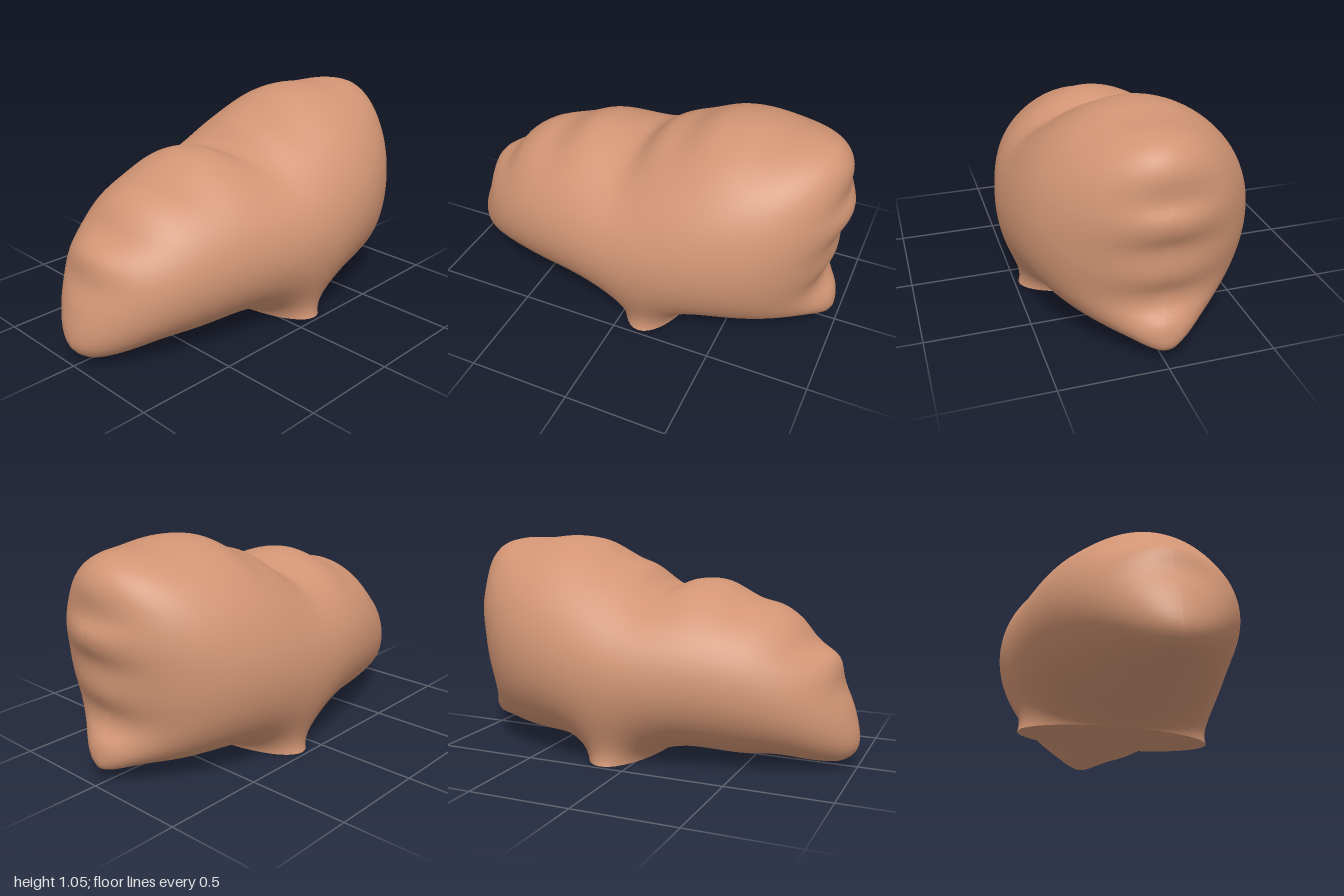
import * as THREE from 'three';

const FOOT = { x: 0.125, rx: 0.185, rz: 0.48 };
const WIDEST = 0.57, RINGS = 40;

// Middle outline, counterclockwise: free edge from foot to foot, then the flat foot edge
function makeOutline() {
  const edge = new THREE.CatmullRomCurve3([
    [0.31, 0], [0.335, 0.025], [0.5, 0.03], [0.68, 0.04], [0.82, 0.065], [0.96, 0.07],
    [0.98, 0.1], [0.97, 0.2], [0.92, 0.26], [0.91, 0.32], [0.95, 0.43], [0.955, 0.57],
    [0.995, 0.66], [1, 0.72], [0.97, 0.78], [0.965, 0.92], [0.91, 1], [0.8, 1.035],
    [0.65, 1.04], [0.5, 1.055], [0.34, 1.035], [0.2, 0.96], [0.08, 0.92], [-0.05, 0.82],
    [-0.18, 0.86], [-0.32, 0.86], [-0.48, 0.78], [-0.6, 0.755], [-0.7, 0.69],
    [-0.78, 0.59], [-0.89, 0.52], [-0.92, 0.39], [-0.97, 0.28], [-1, 0.1], [-0.94, 0.035],
    [-0.8, 0.025], [-0.65, 0.04], [-0.45, 0.025], [-0.25, 0.04], [-0.1, 0.018], [-0.06, 0],
  ].map(([x, y]) => new THREE.Vector3(x, y, 0)), false, 'centripetal');
  const points = edge.getSpacedPoints(180);
  for (let k = 1; k < 24; k++) {
    points.push(new THREE.Vector3(FOOT.x - FOOT.rx * Math.cos(Math.PI * k / 24), 0, 0));
  }
  return points;
}

// Flat disc of rings shrinking from the outline to one middle point
function makeDisc(rim) {
  const cols = rim.length, cx = 0.2, cy = 0.42;
  const nodes = [[cx, cy]], triangles = [];
  for (let i = 1; i <= RINGS; i++) {
    const t = Math.sin(Math.PI / 2 * i / RINGS);
    for (const p of rim) nodes.push([cx + (p.x - cx) * t, cy + (p.y - cy) * t]);
  }
  const id = (i, j) => (i === 0 ? 0 : 1 + (i - 1) * cols + j % cols);
  for (let i = 0; i < RINGS; i++) {
    for (let j = 0; j < cols; j++) {
      triangles.push([id(i, j), id(i + 1, j), id(i + 1, j + 1)]);
      if (i > 0) triangles.push([id(i, j), id(i + 1, j + 1), id(i, j + 1)]);
    }
  }
  return { nodes, triangles, inner: nodes.length - cols };
}

// Inflates the disc like a membrane; gives the half thickness at each node
function inflate({ nodes, triangles, inner }) {
  const count = nodes.length;
  const links = nodes.map(() => []);
  const total = new Float64Array(count), area = new Float64Array(count);
  for (const tri of triangles) {
    for (let k = 0; k < 3; k++) {
      const a = tri[k], b = tri[(k + 1) % 3], c = tri[(k + 2) % 3];
      const ux = nodes[a][0] - nodes[c][0], uy = nodes[a][1] - nodes[c][1];
      const vx = nodes[b][0] - nodes[c][0], vy = nodes[b][1] - nodes[c][1];
      const cross = ux * vy - uy * vx;
      const weight = (ux * vx + uy * vy) / cross / 2;
      links[a].push(b, weight);
      links[b].push(a, weight);
      total[a] += weight;
      total[b] += weight;
      area[c] += cross / 6;
    }
  }
  const relax = (u, load) => {
    for (let pass = 0; pass < 1500; pass++) {
      for (let n = 0; n < inner; n++) {
        const link = links[n];
        let sum = load * area[n];
        for (let k = 0; k < link.length; k += 2) sum += link[k + 1] * u[link[k]];
        u[n] += 1.93 * (sum / total[n] - u[n]);
      }
    }
    return u;
  };

  // The foot edge keeps an elliptic thickness, the rest of the outline has none
  const held = new Float64Array(count);
  for (let n = inner; n < count; n++) {
    const [x, y] = nodes[n];
    const s = (x - FOOT.x) / FOOT.rx;
    if (y < 1e-6) held[n] = FOOT.rz ** 2 * Math.max(0, 1 - s * s);
  }
  const base = relax(held, 0);
  const swell = relax(new Float64Array(count), 1);
  let pressure = Infinity;
  for (let n = 0; n < inner; n++) {
    if (swell[n] > 0.01) pressure = Math.min(pressure, (WIDEST ** 2 - base[n]) / swell[n]);
  }
  return nodes.map((_, n) => Math.sqrt(Math.max(0, base[n] + pressure * swell[n])));
}

export function createModel() {
  const group = new THREE.Group();
  const clay = new THREE.MeshStandardMaterial({ color: 0xd29574 });
  clay.name = 'clay';
  const add = (name, geometry) => {
    const mesh = new THREE.Mesh(geometry, clay);
    mesh.name = name;
    group.add(mesh);
  };

  // Front and back halves of the body, mirrored in z
  const disc = makeDisc(makeOutline());
  const thickness = inflate(disc);
  for (const [name, side] of [['frontHalf', 1], ['backHalf', -1]]) {
    const geometry = new THREE.BufferGeometry();
    const positions = disc.nodes.flatMap(([x, y], n) => [x, y, side * thickness[n]]);
    geometry.setAttribute('position', new THREE.Float32BufferAttribute(positions, 3));
    geometry.setIndex(disc.triangles.flatMap(([a, b, c]) => (side > 0 ? [a, b, c] : [a, c, b])));
    geometry.computeVertexNormals();
    add(name, geometry);
  }

  // Flat underside of the foot
  const sole = new THREE.CircleGeometry(1, 48);
  sole.scale(FOOT.rx, FOOT.rz, 1);
  sole.rotateX(Math.PI / 2);
  sole.translate(FOOT.x, 0, 0);
  add('sole', sole);

  return group;
}
